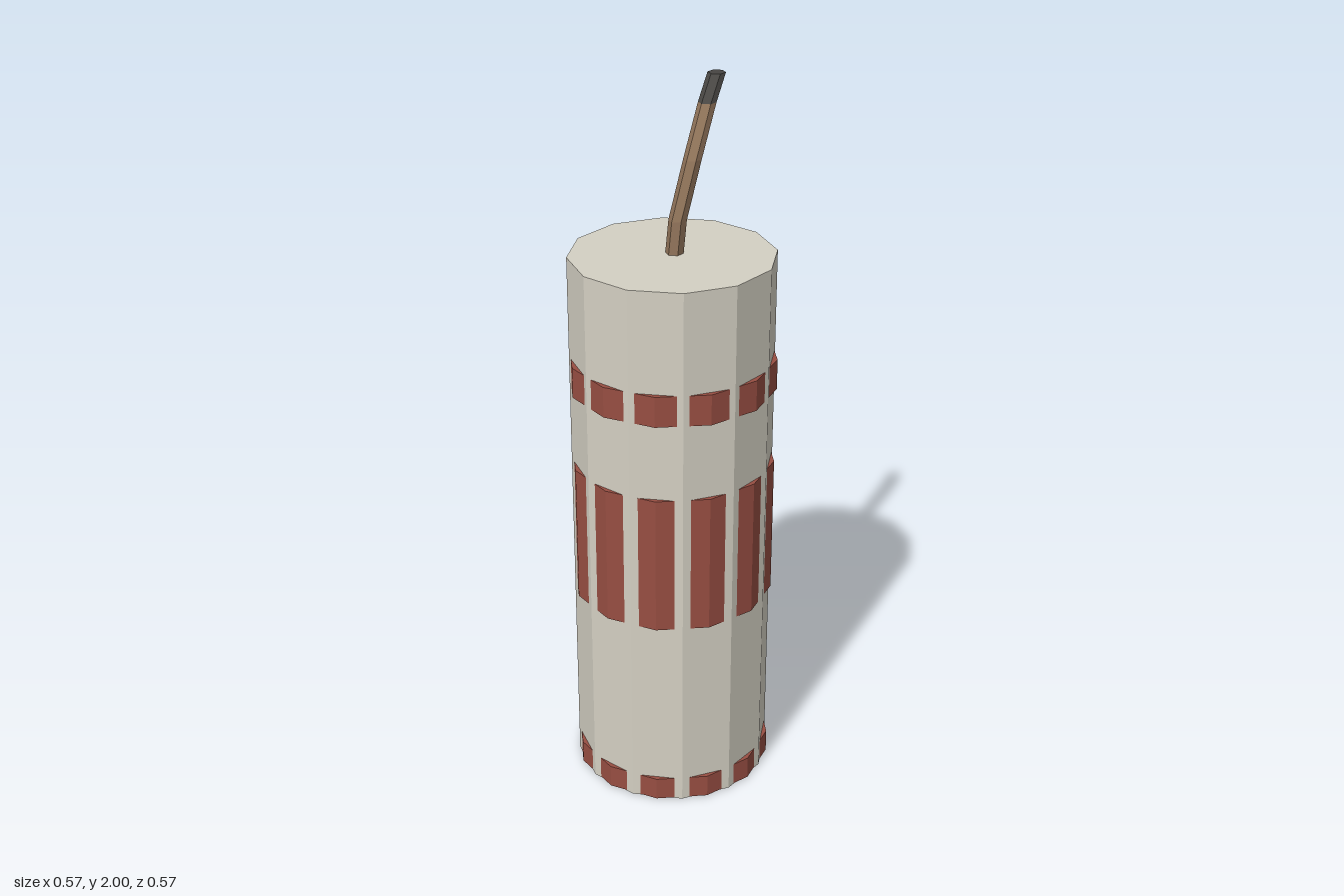
import * as THREE from 'three';

const mat = (name, color) => {
  const m = new THREE.MeshStandardMaterial({ color });
  m.name = name;
  return m;
};

// Separate the faces so every facet is shaded flat
function faceted(geometry) {
  const g = geometry.toNonIndexed();
  g.computeVertexNormals();
  return g;
}

// Upright prism between two heights, turned by an angle
function prism(radius, y0, y1, sides, turn) {
  return new THREE.CylinderGeometry(radius, radius, y1 - y0, sides, 1, false, turn)
    .translate(0, (y0 + y1) / 2, 0);
}

// Hexagonal prism sheared so that its ends stay level and sit on points a and b
function slantedPrism(radius, a, b) {
  const g = prism(radius, a.y, b.y, 6, Math.PI / 6);
  const p = g.attributes.position;
  for (let i = 0; i < p.count; i++) {
    const t = (p.getY(i) - a.y) / (b.y - a.y);
    p.setX(i, p.getX(i) + THREE.MathUtils.lerp(a.x, b.x, t));
    p.setZ(i, p.getZ(i) + THREE.MathUtils.lerp(a.z, b.z, t));
  }
  return g;
}

export function createModel() {
  const group = new THREE.Group();
  group.name = 'stick';
  const paper = mat('pale paper', 0xd4d0c3);
  const red = mat('brick red', 0x974e42);
  const cord = mat('brown cord', 0x8c7057);
  const char = mat('charred cord', 0x474542);

  const add = (name, geometry, material) => {
    const mesh = new THREE.Mesh(faceted(geometry), material);
    mesh.name = name;
    group.add(mesh);
  };

  // Twelve-sided body
  add('body', prism(0.28, 0, 1.572, 12, Math.PI / 12), paper);

  // Bands turned half a facet, so only their corners break through the body
  add('bottomBand', prism(0.2838, 0.002, 0.07, 12, 0), red);
  add('middleBand', prism(0.2838, 0.578, 0.98, 12, 0), red);
  add('topBand', prism(0.2855, 1.2, 1.287, 12, 0), red);

  // Bent fuse with a charred tip
  const path = [
    [0.006, 1.56, 0], [0.021, 1.66, 0], [0.082, 1.81, 0], [0.17, 1.938, -0.022], [0.236, 2, -0.043],
  ].map((p) => new THREE.Vector3(...p));
  for (let i = 0; i < path.length - 1; i++) {
    const tip = i === path.length - 2;
    add(tip ? 'fuseTip' : `fuse${i + 1}`, slantedPrism(0.0245, path[i], path[i + 1]), tip ? char : cord);
  }
  return group;
}
